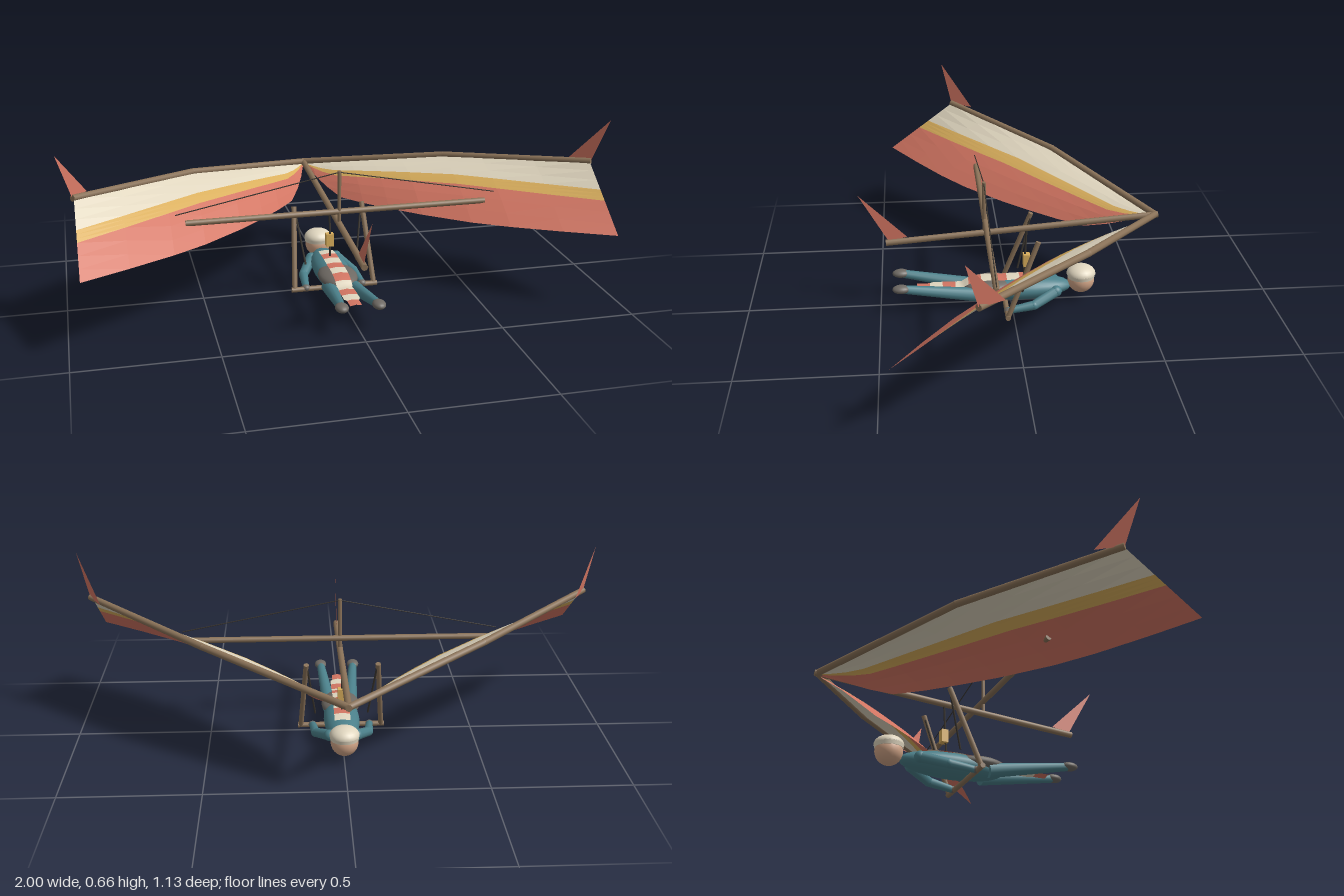
import * as THREE from 'three';

const V = (x, y, z) => new THREE.Vector3(x, y, z);
const paint = (color) => new THREE.MeshStandardMaterial({ color, side: THREE.DoubleSide });
const WOOD = paint(0x8a7258), CREAM = paint(0xe0d6bf), GOLD = paint(0xd9ae5c), RED = paint(0xd27562),
  TEAL = paint(0x4b808a), GREY = paint(0x6e6963), SKIN = paint(0xd3a688), WIRE = paint(0x3a352f);
const FLAT = [CREAM, GOLD, RED].map((m) => { const c = m.clone(); c.flatShading = true; return c; });

export function createModel() {
  const model = new THREE.Group();

  const add = (name, geometry, material) => {
    const mesh = new THREE.Mesh(geometry, material);
    mesh.name = name;
    model.add(mesh);
    return mesh;
  };
  // Rod from a to b, with radius ra at a and rb at b
  const rod = (name, a, b, ra, rb, material, sides = 10) => {
    const mesh = add(name, new THREE.CylinderGeometry(rb, ra, a.distanceTo(b), sides), material);
    mesh.position.copy(a).lerp(b, 0.5);
    mesh.quaternion.setFromUnitVectors(V(0, 1, 0), b.clone().sub(a).normalize());
    return mesh;
  };
  const ellipsoid = (name, center, size, material) => {
    const mesh = add(name, new THREE.SphereGeometry(1, 20, 14), material);
    mesh.position.copy(center);
    mesh.scale.copy(size);
    return mesh;
  };
  // Grid surface through point(u, v)
  const sheet = (name, nu, nv, point, material) => {
    const pos = [], index = [];
    for (let i = 0; i <= nu; i++) for (let j = 0; j <= nv; j++) pos.push(...point(i / nu, j / nv).toArray());
    for (let i = 0; i < nu; i++) for (let j = 0; j < nv; j++) {
      const a = i * (nv + 1) + j, b = a + nv + 1;
      index.push(a, a + 1, b, b, a + 1, b + 1);
    }
    const g = new THREE.BufferGeometry();
    g.setAttribute('position', new THREE.Float32BufferAttribute(pos, 3));
    g.setIndex(index);
    g.computeVertexNormals();
    return add(name, g, material);
  };
  const triangle = (name, a, b, c) => {
    const g = new THREE.BufferGeometry().setFromPoints([a, b, c]);
    g.computeVertexNormals();
    return add(name, g, RED);
  };

  // Leading edge (y, z) and trailing edge (y, z) at each span station x
  const stations = [
    [0, 0.34, -0.555, 0.335, -0.55], [0.03, 0.347, -0.535, 0.31, -0.45], [0.06, 0.352, -0.515, 0.285, -0.375],
    [0.1, 0.36, -0.485, 0.262, -0.295], [0.17, 0.373, -0.44, 0.263, -0.2], [0.25, 0.388, -0.385, 0.266, -0.105],
    [0.35, 0.407, -0.315, 0.27, 0.005], [0.5, 0.435, -0.21, 0.275, 0.145], [0.62, 0.452, -0.105, 0.281, 0.24],
    [0.78, 0.473, 0.035, 0.288, 0.347], [0.945, 0.495, 0.18, 0.295, 0.45],
  ];
  const sailPoint = (side, i, t) => {
    const [x, ly, lz, ty, tz] = stations[i];
    const camber = 0.18 * (tz - lz) * (1 - (x / 0.945) ** 2) * Math.min(1, Math.sqrt(x / 0.1));
    return V(side * x, ly + (ty - ly) * t + camber * 0.6 * Math.sin(Math.PI * t), lz + (tz - lz) * t);
  };
  const bands = [['creamSail', 0, 0.39], ['goldSail', 0.39, 0.54], ['redSail', 0.54, 1]];

  for (const s of [-1, 1]) {
    const label = s > 0 ? 'left' : 'right';
    const named = (part) => label + part;

    // Sail bands, spars and tip fin
    bands.forEach(([name, t0, t1], k) => sheet(named(name), stations.length - 1, 3,
      (u, v) => sailPoint(s, Math.round(u * (stations.length - 1)), t0 + (t1 - t0) * v), FLAT[k]));
    const nose = V(0, 0.345, -0.55), bend = V(s * 0.5, 0.437, -0.215), tip = V(s * 0.95, 0.495, 0.18);
    rod(named('InnerLeadingEdge'), nose, bend, 0.013, 0.013, WOOD);
    rod(named('OuterLeadingEdge'), bend, tip, 0.013, 0.012, WOOD);
    ellipsoid(named('SparJoint'), bend, V(0.013, 0.013, 0.013), WOOD);
    triangle(named('TipFin'), V(s * 0.95, 0.495, 0.18), V(s * 0.9, 0.49, 0.095), V(s * 0.998, 0.66, 0.22));
    rod(named('KingPostWire'), V(0, 0.495, 0.1), V(s * 0.6, 0.377, 0.1), 0.002, 0.002, WIRE, 6);

    // Control frame
    rod(named('Upright'), V(s * 0.155, 0.012, 0.024), V(s * 0.133, 0.31, -0.09), 0.01, 0.01, WOOD);
    rod(named('FrameWire'), V(s * 0.13, 0.3, -0.088), V(s * 0.1, 0.09, -0.035), 0.004, 0.004, WIRE, 6);

    // Pilot's limbs
    const shoulder = V(s * 0.05, 0.06, -0.17), elbow = V(s * 0.1, 0.03, -0.08), hand = V(s * 0.11, 0.017, 0.02);
    rod(named('UpperArm'), shoulder, elbow, 0.021, 0.018, TEAL);
    ellipsoid(named('Shoulder'), shoulder, V(0.022, 0.022, 0.022), TEAL);
    ellipsoid(named('Elbow'), elbow, V(0.018, 0.018, 0.018), TEAL);
    rod(named('Forearm'), elbow, hand, 0.018, 0.013, TEAL);
    ellipsoid(named('Hand'), hand, V(0.016, 0.013, 0.016), GREY);
    rod(named('Leg'), V(s * 0.04, 0.05, 0.1), V(s * 0.066, 0.102, 0.41), 0.028, 0.016, TEAL, 12);
    ellipsoid(named('Boot'), V(s * 0.067, 0.104, 0.42), V(0.024, 0.016, 0.033), GREY);
  }

  // Airframe centreline
  rod('keel', V(0, 0.345, -0.56), V(0, 0.268, 0.47), 0.012, 0.012, WOOD);
  rod('crossbar', V(-0.565, 0.343, 0.097), V(0.565, 0.343, 0.097), 0.011, 0.011, WOOD);
  rod('kingPost', V(0, 0.29, 0.1), V(0, 0.5, 0.1), 0.007, 0.007, WOOD, 8);
  rod('baseBar', V(-0.167, 0.014, 0.024), V(0.167, 0.014, 0.024), 0.01, 0.01, WOOD);
  triangle('tailFin', V(0, 0.275, 0.46), V(0, 0.29, 0.39), V(0, 0.462, 0.565));

  // Hang strap and buckle
  rod('hangStrap', V(0, 0.31, -0.06), V(0, 0.1, -0.05), 0.004, 0.004, WIRE, 6);
  add('buckle', new THREE.BoxGeometry(0.03, 0.05, 0.026), GOLD).position.set(0, 0.175, -0.06);

  // Pilot's body and harness
  ellipsoid('torso', V(0, 0.062, -0.03), V(0.068, 0.046, 0.205), TEAL);
  ellipsoid('harness', V(0, 0.078, 0.075), V(0.074, 0.03, 0.108), GREY);
  ellipsoid('head', V(0, 0.083, -0.272), V(0.051, 0.052, 0.052), SKIN);
  const dome = new THREE.SphereGeometry(1, 20, 8, 0, Math.PI * 2, 0, Math.PI / 2);
  const cap = add('cap', dome, CREAM);
  cap.position.set(0, 0.108, -0.272);
  cap.scale.set(0.055, 0.035, 0.056);
  rod('capBand', V(0, 0.094, -0.272), V(0, 0.11, -0.272), 0.052, 0.055, CREAM, 20);

  // Striped cloth along the back, trailing between the legs
  const backHeight = (z) => {
    const torso = 0.062 + 0.046 * Math.sqrt(Math.max(0, 1 - ((z + 0.03) / 0.205) ** 2));
    const harness = 0.078 + 0.03 * Math.sqrt(Math.max(0, 1 - ((z - 0.075) / 0.108) ** 2));
    return Math.max(torso, harness, 0.08) + 0.003;
  };
  const stripes = 10, z0 = -0.13, z1 = 0.36;
  for (let k = 0; k < stripes; k++) {
    sheet('backStripe', 4, 2, (u, v) => {
      const z = z0 + (z1 - z0) * (k + u) / stripes, w = z > 0.3 ? 0.022 : 0.03;
      return V((1 - 2 * v) * -w, backHeight(z) - 0.004 * (1 - 2 * v) ** 2, z);
    }, k % 2 ? RED : CREAM);
  }

  return model;
}
